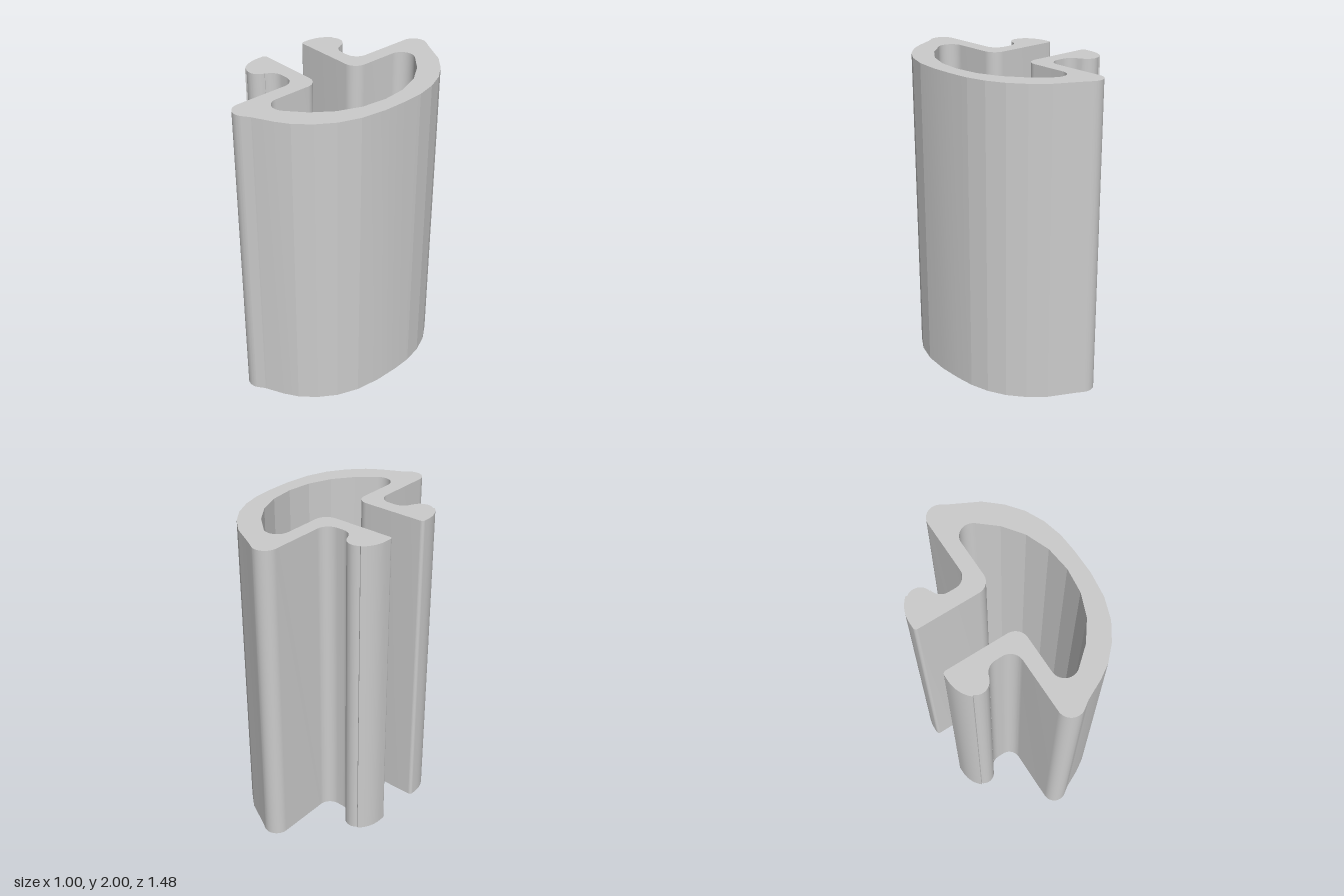
import * as THREE from 'three';
import { toCreasedNormals } from 'three/addons/utils/BufferGeometryUtils.js';

const HEIGHT = 2;

// Points along a circular arc, angles in degrees, about 7 degrees per step
function arc(cx, cy, r, from, to) {
  const steps = Math.ceil(Math.abs(to - from) / 7);
  return Array.from({ length: steps + 1 }, (_, i) => {
    const a = THREE.MathUtils.degToRad(from + ((to - from) * i) / steps);
    return [cx + r * Math.cos(a), cy + r * Math.sin(a)];
  });
}

export function createModel() {
  // Half of the section: inner wall, leg, hooked lip, shoulder and rounded tip
  const half = [
    [0.403, 0], [0.385, 0.157], [0.328, 0.302], [0.237, 0.425],
    ...arc(0.075, 0.458, 0.08, 48, 180),    // inner corner of the chamber
    ...arc(-0.085, 0.223, 0.08, 0, -90),    // bend into the slot
    ...arc(-0.48, 0.163, 0.02, 270, 180),   // slot mouth
    ...arc(-0.3, 0.2, 0.2, 180, 133),       // back of the hook
    ...arc(-0.38, 0.284, 0.075, 130, 13),   // hook tip
    ...arc(-0.225, 0.319, 0.08, 193, 270),  // groove
    ...arc(-0.18, 0.319, 0.08, 270, 360),
    ...arc(-0.02, 0.66, 0.08, 180, 60),     // rounded tip of the bow
  ];

  // Faceted outer bow, from one tip to the other
  const bow = [
    [0.07, 0.7], [0.23, 0.617], [0.33, 0.53], [0.408, 0.43], [0.461, 0.317],
    [0.491, 0.195], [0.5, 0.07], [0.5, -0.09], [0.479, -0.25], [0.431, -0.385],
    [0.36, -0.494], [0.273, -0.583], [0.188, -0.637], [0.07, -0.694],
  ];

  const mirrored = half.slice(1).reverse().map(([x, y]) => [x, -y]);
  const outline = [...half, ...bow, ...mirrored].map(([x, y]) => new THREE.Vector2(x, y));

  // Extrude upright, smooth on the fillets and faceted on the bow
  const extruded = new THREE.ExtrudeGeometry(new THREE.Shape(outline), {
    depth: HEIGHT, steps: 1, bevelEnabled: false,
  });
  extruded.rotateX(-Math.PI / 2);
  extruded.clearGroups();
  const geometry = toCreasedNormals(extruded, THREE.MathUtils.degToRad(7.6));

  const profile = new THREE.Mesh(geometry, new THREE.MeshStandardMaterial({ color: 0xcccccc }));
  profile.name = 'extrudedSealProfile';

  const group = new THREE.Group();
  group.name = 'sealStrip';
  group.add(profile);
  return group;
}
